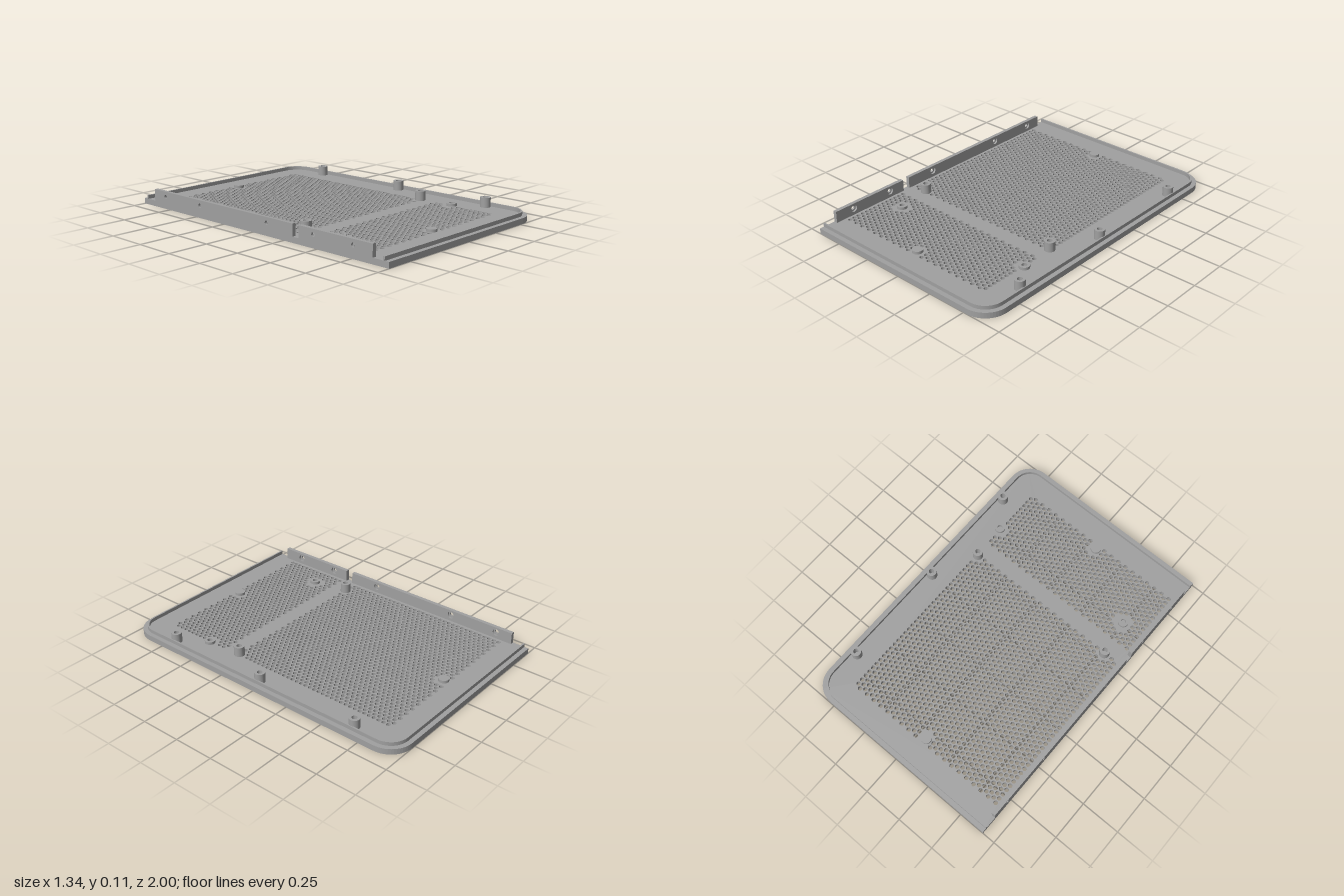
import * as THREE from 'three';
import { toCreasedNormals } from 'three/addons/utils/BufferGeometryUtils.js';

const X = 0.668, Z = 1, CORNER = 0.145;
const FLOOR = 0.035, RIM_TOP = 0.058;

// Points of a polygonal circle (no repeated end point)
function ring(cx, cy, r, n) {
  return Array.from({ length: n }, (_, i) => {
    const a = ((i + 0.5) / n) * Math.PI * 2;
    return new THREE.Vector2(cx + r * Math.cos(a), cy + r * Math.sin(a));
  });
}

// Outline of the panel moved inward: square at -x, rounded at +x
function outline(inset) {
  const r = CORNER - inset, cx = X - CORNER, cz = Z - CORNER, n = 14;
  const pts = [new THREE.Vector2(-X, -Z + inset)];
  for (const [side, start] of [[-1, -Math.PI / 2], [1, 0]]) {
    for (let i = 0; i <= n; i++) {
      const a = start + (i / n) * Math.PI / 2;
      pts.push(new THREE.Vector2(cx + r * Math.cos(a), side * cz + r * Math.sin(a)));
    }
  }
  pts.push(new THREE.Vector2(-X, Z - inset));
  return pts;
}

function extrude(shape, depth) {
  return new THREE.ExtrudeGeometry(shape, { depth, bevelEnabled: false });
}

// Extrude a plan shape (x, -z) upward from y0 to y1
function raise(shape, y0, y1) {
  return extrude(shape, y1 - y0).rotateX(-Math.PI / 2).translate(0, y0, 0);
}

export function createModel() {
  const group = new THREE.Group();
  const grey = new THREE.MeshStandardMaterial({ color: 0xa0a0a0 });
  grey.name = 'grey';

  function add(name, geometry, x = 0, y = 0, z = 0) {
    const mesh = new THREE.Mesh(geometry, grey);
    mesh.name = name;
    mesh.position.set(x, y, z);
    group.add(mesh);
  }

  // Posts as [x, z]
  const tallPosts = [[0.603, -0.68], [0.603, 0], [0.603, 0.68], [-0.53, 0.285], [0.473, 0.285]];
  const shortPosts = [[-0.495, 0.515], [0.488, 0.515]];
  const discs = [[-0.063, -0.8], [-0.063, 0.793]];
  const clear = [
    ...tallPosts.map(p => [...p, 0.046]),
    ...shortPosts.map(p => [...p, 0.058]),
    ...discs.map(p => [...p, 0.046]),
  ];

  // Base plate with two staggered fields of vent holes
  const plate = new THREE.Shape(outline(0));
  const pitch = 0.0322, stepX = pitch * Math.sqrt(3) / 2;
  for (let col = 0; col < 40; col++) {
    for (let row = 0; row < 52; row++) {
      const x = -0.615 + col * stepX;
      const z = -0.825 + (row + (col % 2) / 2) * pitch;
      if ((z > 0.295 && z < 0.39) || z > 0.825) continue;
      if (clear.some(([cx, cz, r]) => Math.hypot(x - cx, z - cz) < r)) continue;
      plate.holes.push(new THREE.Path(ring(x, -z, 0.0138, 8)));
    }
  }
  add('ventedPlate', raise(plate, 0, FLOOR));

  // Raised lip along three sides, open at -x
  const lip = new THREE.Shape([...outline(0.028), ...outline(0.038).reverse()]);
  add('rim', toCreasedNormals(raise(lip, FLOOR, RIM_TOP), 0.6));

  // Hollow screw posts and plain discs
  function post(top) {
    const shape = new THREE.Shape(ring(0, 0, 0.032, 28));
    shape.holes.push(new THREE.Path(ring(0, 0, 0.016, 20)));
    return toCreasedNormals(raise(shape, FLOOR, top), 0.6);
  }
  const tall = post(0.095), short = post(0.052);
  tallPosts.forEach(([x, z]) => add('screwPost', tall, x, 0, z));
  shortPosts.forEach(([x, z]) => add('shortPost', short, x, 0, z));
  const disc = new THREE.CylinderGeometry(0.032, 0.032, 0.017, 28);
  discs.forEach(([x, z]) => add('disc', disc, x, FLOOR + 0.0085, z));

  // Upright side walls with counterbored screw holes (wide inside, narrow outside)
  const screwZ = [0.76, 0.475, 0.115, -0.46, -0.785];
  for (const [z0, z1] of [[-0.893, 0.32], [0.367, 0.893]]) {
    for (const [name, x, r] of [['wallInner', -0.644, 0.022], ['wallOuter', -0.656, 0.013]]) {
      const wall = new THREE.Shape([[z0, FLOOR], [z1, FLOOR], [z1, 0.108], [z0, 0.108]]
        .map(p => new THREE.Vector2(...p)));
      for (const z of screwZ) {
        if (z > z0 && z < z1) wall.holes.push(new THREE.Path(ring(z, 0.075, r, 20)));
      }
      add(name, toCreasedNormals(extrude(wall, 0.012).rotateY(-Math.PI / 2), 0.6), x);
    }
  }
  return group;
}
